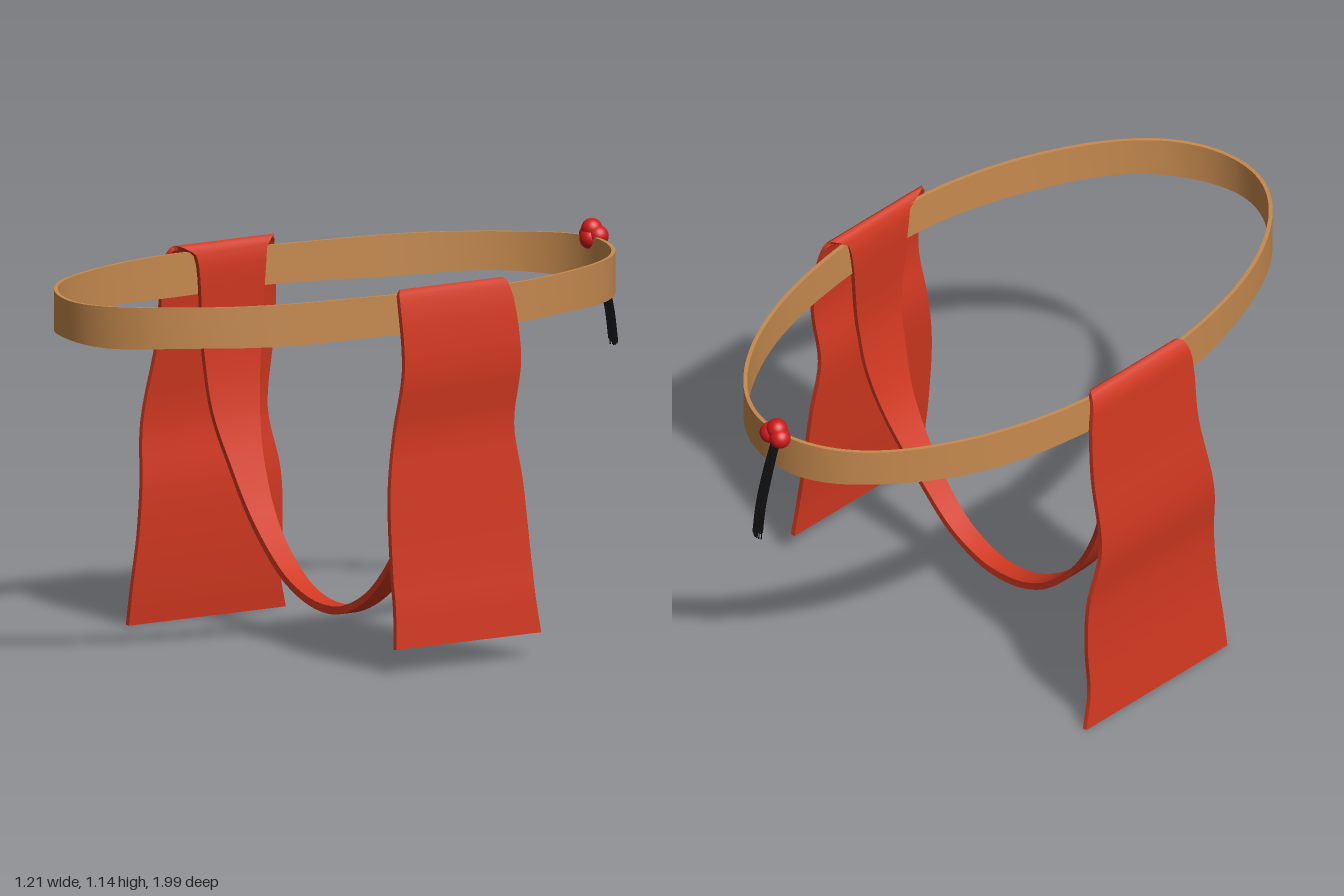
import * as THREE from 'three';
import { mergeGeometries, toCreasedNormals } from 'three/addons/utils/BufferGeometryUtils.js';

const material = (color) => new THREE.MeshStandardMaterial({ color, side: THREE.DoubleSide });

// Skin a list of four-cornered cross-sections, either as a closed loop or with end caps
function sweep(rings, closed) {
  const positions = [];
  const quad = (a, b, c, d) => positions.push(...a, ...b, ...c, ...a, ...c, ...d);
  const count = closed ? rings.length : rings.length - 1;
  for (let i = 0; i < count; i++) {
    const r = rings[i], s = rings[(i + 1) % rings.length];
    for (let k = 0; k < 4; k++) quad(r[k], r[(k + 1) % 4], s[(k + 1) % 4], s[k]);
  }
  if (!closed) {
    quad(...[...rings[0]].reverse());
    quad(...rings[rings.length - 1]);
  }
  const geometry = new THREE.BufferGeometry();
  geometry.setAttribute('position', new THREE.Float32BufferAttribute(positions, 3));
  return toCreasedNormals(geometry, Math.PI / 5);
}

// Oval belt with slightly uneven upper and lower edges
function beltGeometry() {
  const rings = [], steps = 128, half = 0.006;
  for (let i = 0; i < steps; i++) {
    const a = (i / steps) * Math.PI * 2;
    const low = 0.973 + 0.005 * Math.sin(3 * a + 1) + 0.003 * Math.sin(8 * a);
    const high = 1.092 + 0.005 * Math.sin(3 * a + 0.6) + 0.002 * Math.sin(7 * a);
    const at = (o, y) => [0.003 + (0.519 + o) * Math.cos(a), y, 0.05 + (0.942 + o) * Math.sin(a)];
    rings.push([at(-half, low), at(half, low), at(half, high), at(-half, high)]);
  }
  return sweep(rings, true);
}

// Sash path from one hanging end to the other: x, y, back edge z, front edge z
const sashKeys = [
  [-0.6, 0.01, -0.25, 0.33], [-0.588, 0.12, -0.22, 0.325], [-0.577, 0.27, -0.22, 0.31],
  [-0.575, 0.42, -0.21, 0.3], [-0.59, 0.6, -0.175, 0.285], [-0.563, 0.84, -0.18, 0.25],
  [-0.545, 1.0, -0.17, 0.25], [-0.535, 1.08, -0.155, 0.24], [-0.515, 1.108, -0.14, 0.22],
  [-0.5, 1.08, -0.1, 0.16], [-0.5, 0.82, -0.08, 0.135], [-0.47, 0.63, -0.05, 0.125],
  [-0.414, 0.48, -0.02, 0.105], [-0.317, 0.31, 0.005, 0.092], [-0.188, 0.175, 0.015, 0.085],
  [-0.09, 0.122, 0.02, 0.08], [0, 0.105, 0.022, 0.08], [0.08, 0.113, 0.02, 0.082],
  [0.2, 0.172, 0.015, 0.083], [0.33, 0.31, 0.005, 0.09], [0.443, 0.49, -0.02, 0.105],
  [0.49, 0.63, -0.04, 0.12], [0.515, 0.78, -0.05, 0.13], [0.513, 1.08, -0.09, 0.16],
  [0.53, 1.108, -0.145, 0.235], [0.549, 1.06, -0.165, 0.25], [0.567, 0.88, -0.18, 0.25],
  [0.547, 0.69, -0.17, 0.27], [0.557, 0.52, -0.195, 0.295], [0.576, 0.295, -0.21, 0.3],
  [0.589, 0.19, -0.215, 0.3], [0.597, 0.08, -0.23, 0.305],
];

function sashGeometry() {
  const path = new THREE.CatmullRomCurve3(sashKeys.map(([x, y]) => new THREE.Vector3(x, y, 0)));
  const edges = new THREE.CatmullRomCurve3(sashKeys.map(([, , back, front], i) => new THREE.Vector3(back, front, i)));
  const rings = [], steps = 186;
  for (let i = 0; i <= steps; i++) {
    const t = i / steps;
    const p = path.getPoint(t), tangent = path.getTangent(t), e = edges.getPoint(t);
    // The cloth is bunched and thicker at the bottom of the drape
    const half = 0.007 + 0.005 * Math.max(0, 1 - Math.abs(p.x) / 0.45);
    const at = (n, z) => [p.x - tangent.y * n, p.y + tangent.x * n, z];
    rings.push([at(-half, e.x), at(half, e.x), at(half, e.y), at(-half, e.y)]);
  }
  return sweep(rings, false);
}

// Bundle of fine strands hanging down and away from the belt
function tasselGeometry() {
  const strands = [], count = 30;
  for (let i = 0; i < count; i++) {
    const a = i * 2.39996, r = 0.017 * Math.sqrt((i + 0.5) / count);
    const dx = r * Math.cos(a), dz = r * 0.6 * Math.sin(a);
    const end = 0.772 + 0.018 * ((i * 7) % 5) / 4;
    const curve = new THREE.CatmullRomCurve3([
      new THREE.Vector3(dx * 0.9, 1.08, -0.905 + dz * 0.6),
      new THREE.Vector3(dx, 0.98, -0.94 + dz),
      new THREE.Vector3(dx * 1.05, 0.88, -0.968 + dz),
      new THREE.Vector3(dx * 1.1, end, -0.982 + dz),
    ]);
    strands.push(new THREE.TubeGeometry(curve, 10, 0.0022, 4));
  }
  return mergeGeometries(strands);
}

export function createModel() {
  const model = new THREE.Group();
  const add = (name, geometry, color, parent = model) => {
    const mesh = new THREE.Mesh(geometry, material(color));
    mesh.name = name;
    parent.add(mesh);
    return mesh;
  };

  add('belt', beltGeometry(), 0xc68a4e);
  add('sash', sashGeometry(), 0xd03820);
  add('tassel', tasselGeometry(), 0x111111);

  // Cluster of red beads at the back of the belt
  const beads = new THREE.Group();
  beads.name = 'beads';
  const bead = new THREE.SphereGeometry(0.031, 24, 16);
  for (const [x, y, z] of [[-0.002, 1.117, -0.905], [-0.021, 1.098, -0.912], [0.018, 1.098, -0.912], [0, 1.09, -0.897]]) {
    add('bead', bead, 0xd01818, beads).position.set(x, y, z);
  }
  model.add(beads);
  return model;
}
